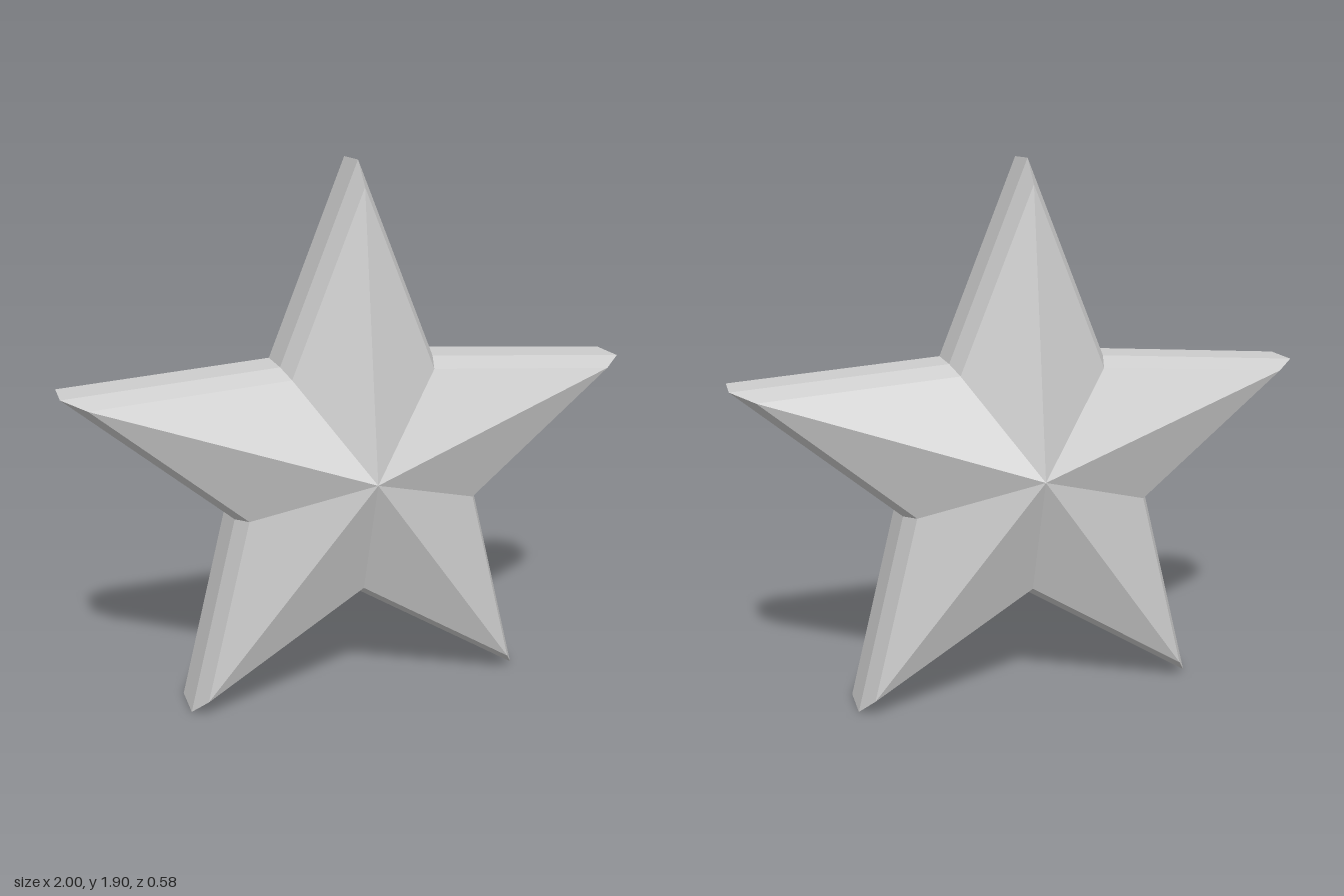
import * as THREE from 'three';

const POINTS = 5;
const CENTRE_Y = 0.85;
const OUTER = 1.051, INNER = 0.466;

// Star outlines from front to back: [scale, z]; scale 0 is an apex
const RINGS = [
  [0, 0.29], [0.922, 0.145], [1, 0.073],
  [1, -0.073], [0.922, -0.145], [0, -0.29],
];

function starPoint([scale, z], k) {
  const angle = Math.PI / 2 + (k * Math.PI) / POINTS;
  const r = scale * (k % 2 ? INNER : OUTER);
  return [r * Math.cos(angle), r * Math.sin(angle), z];
}

function starGeometry() {
  const positions = [];
  for (let i = 0; i < RINGS.length - 1; i++) {
    const front = RINGS[i], back = RINGS[i + 1];
    for (let k = 0; k < POINTS * 2; k++) {
      const a = starPoint(front, k), b = starPoint(front, k + 1);
      const c = starPoint(back, k), d = starPoint(back, k + 1);
      // Each apex closes with a single triangle per facet
      if (front[0] > 0) positions.push(...a, ...c, ...b);
      if (back[0] > 0) positions.push(...b, ...c, ...d);
    }
  }
  const geometry = new THREE.BufferGeometry();
  geometry.setAttribute('position', new THREE.Float32BufferAttribute(positions, 3));
  geometry.computeVertexNormals(); // unshared corners give flat facets
  return geometry;
}

export function createModel() {
  const group = new THREE.Group();
  group.name = 'facetedStar';
  const grey = new THREE.MeshStandardMaterial({ color: 0xcccccc });
  grey.name = 'light grey';

  // Five-pointed star with bevelled rim and raised centre on both sides
  const star = new THREE.Mesh(starGeometry(), grey);
  star.name = 'star';
  star.position.y = CENTRE_Y;
  group.add(star);
  return group;
}
